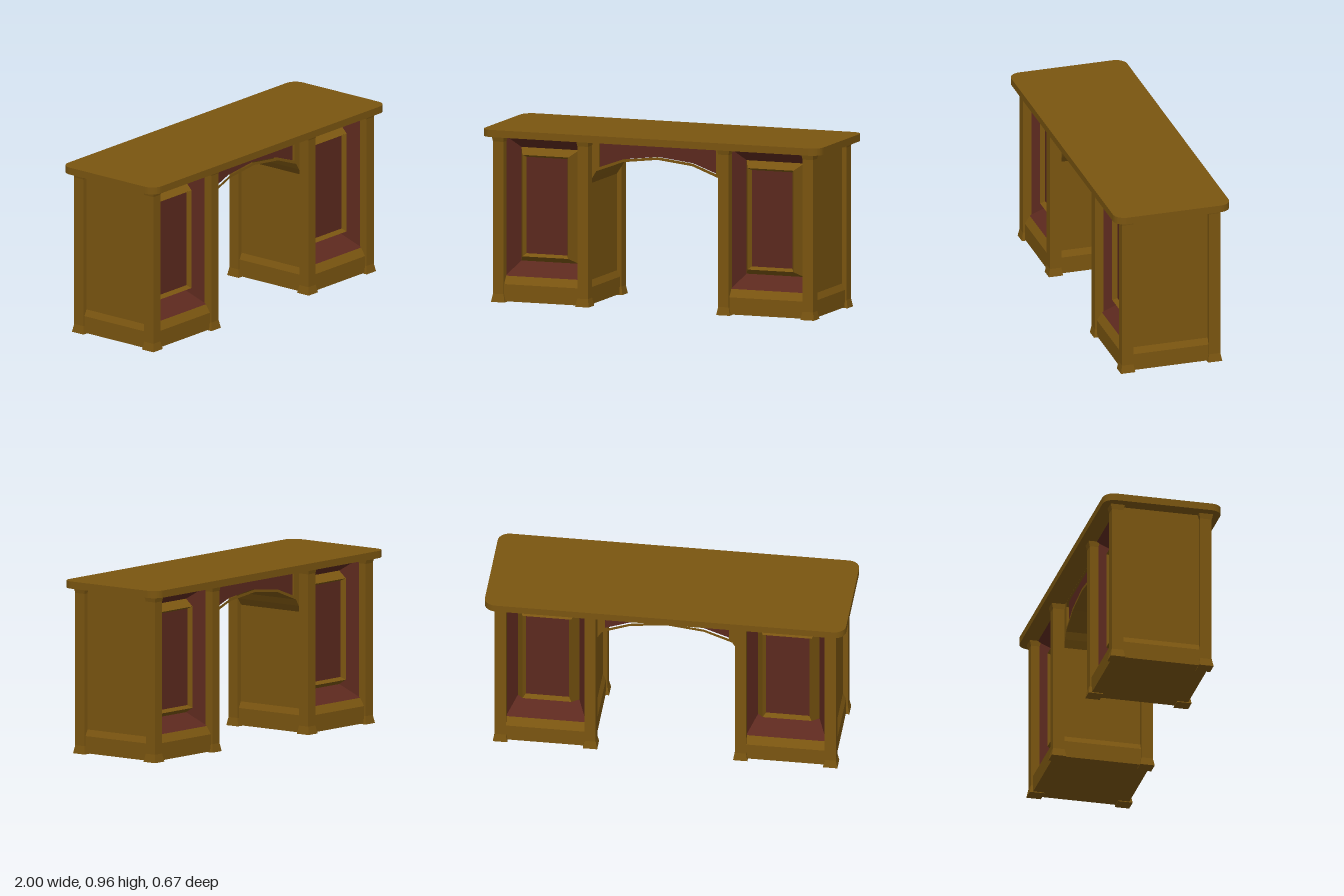
import * as THREE from 'three';

const wood = new THREE.MeshStandardMaterial({ color: 0x7a5510 });
const red = new THREE.MeshStandardMaterial({ color: 0x5c291e });

// Flat-faced loft through rectangles [x0, x1, y0, y1, z]
function loft(rings, { start = false, end = false } = {}) {
  const pos = [];
  const loops = rings.map(([x0, x1, y0, y1, z]) =>
    [[x0, y0, z], [x1, y0, z], [x1, y1, z], [x0, y1, z]]);
  const quad = (a, b, c, d) => pos.push(...a, ...b, ...c, ...a, ...c, ...d);
  for (let k = 0; k < loops.length - 1; k++) {
    const A = loops[k], B = loops[k + 1];
    for (let i = 0; i < 4; i++) {
      const j = (i + 1) % 4;
      quad(A[i], A[j], B[j], B[i]);
    }
  }
  if (start) quad(...[...loops[0]].reverse());
  if (end) quad(...loops[loops.length - 1]);
  const g = new THREE.BufferGeometry();
  g.setAttribute('position', new THREE.Float32BufferAttribute(pos, 3));
  g.computeVertexNormals();
  return g;
}

// Upright closed loft through centred rectangles [halfWidth, halfDepth, y]
function upright(levels) {
  return loft(levels.map(([w, d, y]) => [-w, w, -d, d, y]), { start: true, end: true })
    .rotateX(-Math.PI / 2);
}

function add(parent, name, geometry, material, x = 0, y = 0, z = 0) {
  const mesh = new THREE.Mesh(geometry, material);
  mesh.name = name;
  mesh.position.set(x, y, z);
  parent.add(mesh);
  return mesh;
}

function extrude(shape, depth) {
  return new THREE.ExtrudeGeometry(shape, { depth, bevelEnabled: false, curveSegments: 5 })
    .translate(0, 0, -depth / 2);
}

// Nested rectangles of one pedestal face, from the outside inward
function facePanel() {
  const g = new THREE.Group();
  g.name = 'facePanel';
  const outer = [-0.222, 0.222, 0.143, 0.92, 0.243];
  const recess = [-0.17, 0.17, 0.215, 0.845, 0.135];
  const ridge = [-0.135, 0.135, 0.25, 0.813, 0.21];
  const field = [-0.12, 0.12, 0.265, 0.8, 0.185];
  add(g, 'recessBevel', loft([outer, recess]), red);
  add(g, 'panelFrame', loft([recess, ridge, field]), wood);
  add(g, 'panelField', loft([field], { end: true }), red);
  return g;
}

function pedestal() {
  const g = new THREE.Group();
  // Plinth with sloped upper edge
  add(g, 'plinth', upright([[0.27, 0.272, 0.005], [0.27, 0.272, 0.1], [0.249, 0.243, 0.143]]), wood);
  // Corner posts, flared at both ends
  const post = upright([[0.04, 0.041, 0], [0.031, 0.0325, 0.045],
    [0.031, 0.0325, 0.89], [0.036, 0.04, 0.921]]);
  for (const sx of [-1, 1]) {
    for (const sz of [-1, 1]) add(g, 'cornerPost', post, wood, sx * 0.249, 0, sz * 0.25);
    add(g, 'sidePanel', new THREE.BoxGeometry(0.02, 0.79, 0.48), wood, sx * 0.243, 0.525, 0);
  }
  // Matching panels on front and back
  const front = facePanel();
  const back = facePanel();
  back.rotation.y = Math.PI;
  g.add(front, back);
  return g;
}

// Mirrored outline from the right-hand lower points, closed along a top edge
function archShape(points, top, Kind = THREE.Shape) {
  const left = points.filter(p => p[0] > 0).map(([x, y]) => [-x, y]).reverse();
  const w = points[0][0];
  return new Kind([...points, ...left, [-w, top], [w, top]]
    .map(([x, y]) => new THREE.Vector2(x, y)));
}

export function createModel() {
  const model = new THREE.Group();
  model.name = 'desk';

  // Rounded tabletop
  const w = 1, d = 0.333, r = 0.065;
  const top = new THREE.Shape();
  top.moveTo(-w + r, -d);
  top.absarc(w - r, -d + r, r, -Math.PI / 2, 0);
  top.absarc(w - r, d - r, r, 0, Math.PI / 2);
  top.absarc(-w + r, d - r, r, Math.PI / 2, Math.PI);
  top.absarc(-w + r, -d + r, r, Math.PI, Math.PI * 1.5);
  add(model, 'tabletop', extrude(top, 0.04).rotateX(-Math.PI / 2), wood, 0, 0.941, 0);

  // Pedestals
  for (const side of [-1, 1]) {
    const p = pedestal();
    p.name = side > 0 ? 'leftPedestal' : 'rightPedestal';
    p.position.x = side * 0.665;
    model.add(p);
  }

  // Kneehole arch: wooden surround with an inset panel on both faces
  const inset = [[0.345, 0.77], [0.205, 0.821], [0, 0.845]];
  const surround = archShape([[0.42, 0.66], [0.385, 0.71], [0.362, 0.747], [0.205, 0.806], [0, 0.83]], 0.922);
  surround.holes.push(archShape(inset, 0.92, THREE.Path));
  add(model, 'archSurround', extrude(surround, 0.43), wood);
  add(model, 'archPanel', extrude(archShape(inset, 0.92), 0.405), red);
  return model;
}
